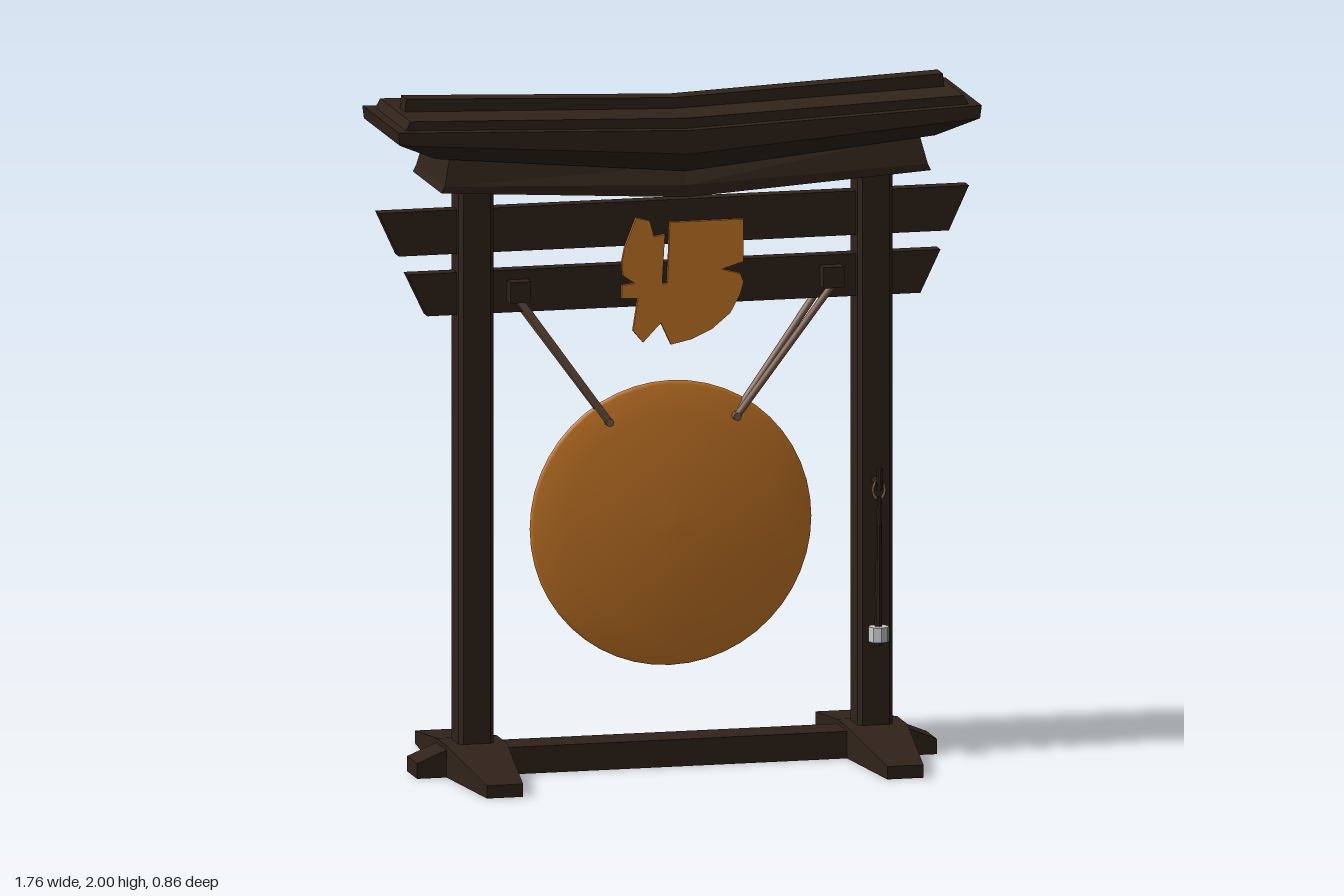
import * as THREE from 'three';

const ZC = 0.033; // depth of the frame's middle plane
const material = (color, extra = {}) => new THREE.MeshStandardMaterial({ color, ...extra });

export function createModel() {
  const root = new THREE.Group();
  const wood = material(0x30231a, { flatShading: true });
  const bronze = material(0xcc7a28, { side: THREE.DoubleSide });
  const rope = material(0x7a5c48);
  const pale = material(0xcccccc, { flatShading: true });

  const add = (name, geometry, mat, x = 0, y = 0, z = 0) => {
    const mesh = new THREE.Mesh(geometry, mat);
    mesh.name = name;
    mesh.position.set(x, y, z);
    root.add(mesh);
    return mesh;
  };

  // Moves every vertex of a geometry by a rule
  const reshape = (geometry, rule) => {
    const p = geometry.attributes.position;
    for (let i = 0; i < p.count; i++) p.setXYZ(i, ...rule(p.getX(i), p.getY(i), p.getZ(i)));
    geometry.computeVertexNormals();
    return geometry;
  };

  // Tapered slab whose middle sags; each level is [halfX, halfZ, yEnd, yMiddle]
  const slab = (name, bottom, top) =>
    add(name, reshape(new THREE.BoxGeometry(2, 2, 2, 2, 1, 1), (x, y, z) => {
      const [hx, hz, yEnd, yMid] = y > 0 ? top : bottom;
      return [x * hx, Math.abs(x) > 0.5 ? yEnd : yMid, z * hz];
    }), wood, 0, 0, ZC);

  // Straight rod between two points
  const rod = (name, a, b, r, mat, r2 = r) => {
    const from = new THREE.Vector3(...a), dir = new THREE.Vector3(...b).sub(from);
    const mesh = add(name, new THREE.CylinderGeometry(r2, r, dir.length(), 8), mat);
    mesh.position.copy(from).addScaledVector(dir, 0.5);
    mesh.quaternion.setFromUnitVectors(new THREE.Vector3(0, 1, 0), dir.normalize());
    return mesh;
  };

  // Roof: lintel, flared eaves, rim, cap and ridge
  slab('lintelBase', [0.73, 0.172, 1.745, 1.70], [0.72, 0.172, 1.765, 1.735]);
  slab('lintelTaper', [0.72, 0.172, 1.765, 1.735], [0.70, 0.15, 1.85, 1.79]);
  slab('eaves', [0.745, 0.16, 1.845, 1.775], [0.865, 0.216, 1.9, 1.835]);
  slab('roofRim', [0.865, 0.216, 1.9, 1.835], [0.87, 0.216, 1.938, 1.905]);
  slab('roofCap', [0.84, 0.183, 1.935, 1.90], [0.825, 0.183, 1.963, 1.935]);
  slab('ridge', [0.805, 0.032, 1.955, 1.92], [0.80, 0.032, 2.0, 1.967]);

  // Cross beams with slanted ends
  slab('upperBeam', [0.82, 0.023, 1.535, 1.535], [0.88, 0.023, 1.665, 1.665]);
  slab('lowerBeam', [0.735, 0.023, 1.355, 1.355], [0.795, 0.023, 1.48, 1.48]);

  // Ground beam with sloping ends
  const beamX = [0.775, 0.69, 0.69, 0.775];
  add('groundBeam', reshape(new THREE.BoxGeometry(3, 2, 2, 3, 1, 1), (x, y, z) => {
    const i = Math.round(x + 1.5);
    return [Math.sign(x) * beamX[i], y > 0 ? (i % 3 ? 0.08 : 0.045) : 0, z * 0.06];
  }), wood, 0, 0, ZC);

  // Chamfered post section
  const h = 0.052, c = 0.04;
  const section = new THREE.Shape([[h, -c], [h, c], [c, h], [-c, h], [-h, c], [-h, -c], [-c, -h], [c, -h]]
    .map(([x, y]) => new THREE.Vector2(x, y)));
  const footZ = [-0.43, -0.028, 0.094, 0.43];

  for (const s of [-1, 1]) {
    const side = s > 0 ? 'left' : 'right';
    const post = new THREE.ExtrudeGeometry(section, { depth: 1.7, bevelEnabled: false }).rotateX(-Math.PI / 2);
    add(side + 'Post', post, wood, s * 0.595, 0.06, ZC);

    // Foot, highest and widest under the post
    add(side + 'Foot', reshape(new THREE.BoxGeometry(2, 2, 3, 1, 1, 3), (x, y, z) => {
      const i = Math.round(z + 1.5), end = i % 3 === 0;
      return [x * (end ? 0.054 : 0.09), y > 0 ? (end ? 0.038 : 0.093) : 0, footZ[i]];
    }), wood, s * 0.597);

    // Hanging block with a pair of ropes that meet at the gong
    add(side + 'RopeBlock', new THREE.BoxGeometry(0.062, 0.062, 0.128), wood, s * 0.467, 1.42, ZC);
    for (const d of [-1, 1]) {
      rod(side + 'Rope', [s * 0.19, 1.015, ZC + d * 0.012], [s * 0.467, 1.395, ZC + d * 0.045], 0.011, rope);
    }
    const knot = add(side + 'RopeKnot', new THREE.CylinderGeometry(0.012, 0.012, 0.05, 8), rope, s * 0.19, 1.015, ZC);
    knot.rotation.x = Math.PI / 2;
  }

  // Gong: shallow dish, bulging to the front
  const dish = [[0.42, -0.018], [0.41, -0.008], [0.32, 0.003], [0.2, 0.013], [0.1, 0.018], [0, 0.02]];
  const gong = new THREE.LatheGeometry(dish.map(([r, y]) => new THREE.Vector2(r, y)), 48);
  add('gong', gong.rotateX(Math.PI / 2), bronze, 0, 0.705, ZC);

  // Broken plaque on the beams
  const outline = [[-0.015, 1.60], [0.205, 1.60], [0.205, 1.475], [0.14, 1.455], [0.195, 1.44], [0.205, 1.415],
    [0.195, 1.38], [0.165, 1.325], [0.11, 1.28], [0.05, 1.253], [-0.012, 1.24], [-0.042, 1.305], [-0.095, 1.25],
    [-0.125, 1.285], [-0.11, 1.38], [-0.158, 1.383], [-0.158, 1.42], [-0.12, 1.425], [-0.155, 1.45],
    [-0.158, 1.49], [-0.15, 1.53], [-0.115, 1.618], [-0.075, 1.607], [-0.062, 1.56], [-0.03, 1.565],
    [-0.038, 1.42], [-0.022, 1.42]];
  const plaque = new THREE.Shape(outline.map(([x, y]) => new THREE.Vector2(x, y)));
  add('plaque', new THREE.ExtrudeGeometry(plaque, { depth: 0.012, bevelEnabled: false }), bronze, 0, 0, ZC + 0.024);

  // Mallet hanging from a peg on the left post
  const mx = 0.593;
  rod('malletPeg', [mx, 0.815, 0.08], [mx, 0.815, 0.14], 0.012, wood);
  rod('malletHook', [mx, 0.795, 0.135], [mx, 0.86, 0.14], 0.009, wood);
  const loop = add('malletLoop', new THREE.TorusGeometry(0.018, 0.004, 6, 12), rope, mx, 0.795, 0.13);
  loop.scale.y = 1.5;
  rod('malletHandle', [mx, 0.335, 0.122], [mx, 0.775, 0.134], 0.012, wood, 0.007);
  add('malletHead', new THREE.CylinderGeometry(0.03, 0.03, 0.044, 8), pale, mx, 0.37, 0.128);

  return root;
}
